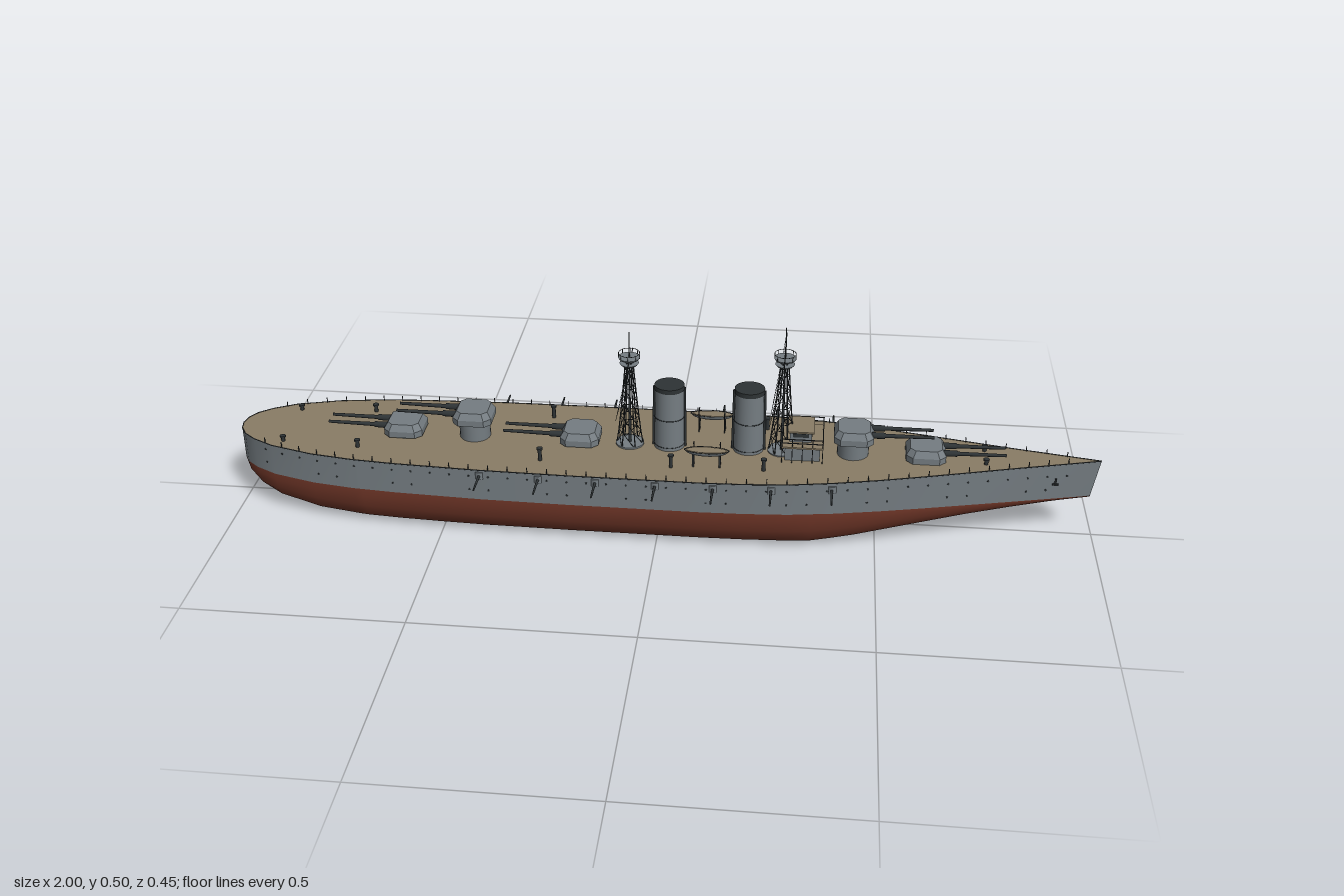
import * as THREE from 'three';
import { mergeGeometries } from 'three/addons/utils/BufferGeometryUtils.js';

const paint = (name, color, extra = {}) => Object.assign(new THREE.MeshStandardMaterial({ color, ...extra }), { name });
const V = (x, y, z) => new THREE.Vector3(x, y, z);

// Hull lines: [x, half beam] and [x, keel height]
const BEAM = [[-1, 0], [-0.995, 0.026], [-0.98, 0.05], [-0.95, 0.074], [-0.9, 0.1], [-0.8, 0.128], [-0.7, 0.143], [-0.6, 0.151],
  [-0.4, 0.16], [-0.2, 0.163], [0.1, 0.163], [0.2, 0.16], [0.3, 0.153], [0.4, 0.138], [0.5, 0.118], [0.6, 0.095], [0.8, 0.046], [1, 0]];
const KEEL = [[-1, 0.1], [-0.98, 0.07], [-0.95, 0.047], [-0.9, 0.028], [-0.8, 0.01], [-0.68, 0.002], [-0.5, 0], [0.35, 0],
  [0.45, 0.007], [0.6, 0.03], [0.8, 0.066], [1, 0.103]];
const WATER = 0.105;
function lookup(table, x) {
  let i = 1;
  while (i < table.length - 1 && x > table[i][0]) i++;
  const [a, b] = [table[i - 1], table[i]];
  return THREE.MathUtils.lerp(a[1], b[1], THREE.MathUtils.clamp((x - a[0]) / (b[0] - a[0]), 0, 1));
}
const beam = (x) => lookup(BEAM, x);
const deckY = (x) => 0.182 + 0.016 * Math.pow(Math.max(0, (x - 0.1) / 0.9), 1.5);
const rake = (x) => 0.015 * Math.max(0, (x - 0.8) / 0.2);

// Surface through rows of points
function loft(rows) {
  const n = rows[0].length, index = [];
  for (let i = 0; i < rows.length - 1; i++) for (let j = 0; j < n - 1; j++) {
    const a = i * n + j, b = a + n;
    index.push(a, a + 1, b, b, a + 1, b + 1);
  }
  const g = new THREE.BufferGeometry();
  g.setAttribute('position', new THREE.Float32BufferAttribute(rows.flat(2), 3));
  g.setIndex(index);
  g.computeVertexNormals();
  return g;
}

function part(parent, name, material, geos) {
  const list = Array.isArray(geos) ? geos : [geos];
  const mesh = new THREE.Mesh(list.length > 1 ? mergeGeometries(list) : list[0], material);
  mesh.name = name;
  parent.add(mesh);
  return mesh;
}
const box = (w, h, d, x, y, z) => new THREE.BoxGeometry(w, h, d).translate(x, y, z);
const drum = (r1, r2, h, x, y, z, n = 20) => new THREE.CylinderGeometry(r1, r2, h, n).translate(x, y + h / 2, z);
function rod(a, b, r, r2 = r, n = 5) {
  const d = b.clone().sub(a);
  const q = new THREE.Quaternion().setFromUnitVectors(V(0, 1, 0), d.clone().normalize());
  return new THREE.CylinderGeometry(r2, r, d.length(), n).applyQuaternion(q).translate(...a.clone().add(b).multiplyScalar(0.5).toArray());
}

export function createModel() {
  const ship = new THREE.Group();
  ship.name = 'battleship';
  const grey = paint('hull grey', 0x757d82);
  const red = paint('bottom red', 0x75392a, { side: THREE.DoubleSide });
  const wood = paint('deck wood', 0x8a7d66);
  const dark = paint('dark steel', 0x2e3335, { side: THREE.DoubleSide });

  // Hull
  const xs = [...new Set([...BEAM, ...KEEL].map((p) => p[0])), -0.3, 0, 0.7, 0.9].sort((a, b) => a - b);
  const side = (s) => loft(xs.map((x) => {
    const top = [x, deckY(x), s * beam(x)], low = [x - rake(x), WATER, s * beam(x)];
    return s > 0 ? [top, low] : [low, top];
  }));
  part(ship, 'hullSides', grey, [side(1), side(-1)]);
  const SECTION = [[1, 1], [0.99, 0.78], [0.93, 0.5], [0.86, 0.27], [0.76, 0.11], [0.55, 0.02], [0.28, 0], [0, 0]];
  part(ship, 'underwaterHull', red, loft(xs.map((x) => {
    const k = lookup(KEEL, x), sharp = THREE.MathUtils.clamp((x - 0.35) / 0.6, 0, 1) * 0.75;
    const half = SECTION.map(([g, f]) => [x - rake(x), k + (WATER - k) * THREE.MathUtils.lerp(f, g, sharp), g * beam(x)]);
    return [...half, ...half.slice(0, -1).reverse().map(([px, y, z]) => [px, y, -z])];
  })));
  part(ship, 'deck', wood, loft(xs.map((x) => [-1, 0, 1].map((s) => [x, deckY(x), s * beam(x)]))));
  part(ship, 'rudder', grey, box(0.07, 0.07, 0.008, -0.915, 0.045, 0));

  // Portholes, guard rail posts and deck-edge line
  const ports = [], posts = [], edges = [];
  for (const s of [1, -1]) {
    for (let x = -0.92; x < 0.95; x += 0.045) {
      const angle = Math.atan2(beam(x + 0.01) - beam(x - 0.01), 0.02) * -s;
      for (const y of [0.165, 0.13]) {
        if (y < 0.15 && Math.round(x * 100) % 2) continue;
        ports.push(new THREE.CylinderGeometry(0.0025, 0.0025, 0.002, 8).rotateX(Math.PI / 2).rotateY(angle).translate(x, y, s * beam(x)));
      }
      posts.push(box(0.0018, 0.013, 0.0018, x, deckY(x) + 0.006, s * (beam(x) - 0.003)));
    }
    xs.slice(1).forEach((x, i) => edges.push(rod(V(xs[i], deckY(xs[i]), s * beam(xs[i])), V(x, deckY(x), s * beam(x)), 0.0012)));
    // Anchors
    const z = s * (beam(0.9) + 0.002);
    ports.push(box(0.004, 0.016, 0.004, 0.9, 0.152, z), box(0.014, 0.004, 0.005, 0.9, 0.145, z));
  }
  part(ship, 'portholesAndAnchors', dark, ports);
  part(ship, 'railPosts', dark, posts);
  part(ship, 'deckEdge', dark, edges);

  // Side battery
  const guns = [], mounts = [];
  for (const s of [1, -1]) for (const x of [-0.4, -0.265, -0.135, 0, 0.13, 0.26, 0.395]) {
    const b = beam(x);
    guns.push(rod(V(x, 0.168, s * (b - 0.01)), V(x, 0.168, s * (b + 0.063)), 0.0035, 0.002, 8));
    mounts.push(drum(0.012, 0.012, 0.018, x, 0.159, s * (b - 0.008), 12));
  }
  part(ship, 'sideGuns', dark, guns);
  part(ship, 'sideGunMounts', grey, mounts);

  // Main turrets: chamfered plan, sides leaning inwards
  function turret(x, base, dir) {
    const g = new THREE.Group();
    g.name = 'mainTurret';
    const a = 0.045, c = 0.03;
    const plan = new THREE.Shape([[a, c], [c, a], [-c, a], [-a, c], [-a, -c], [-c, -a], [c, -a], [a, -c]].map((p) => new THREE.Vector2(...p)).reverse());
    const house = new THREE.ExtrudeGeometry(plan, { depth: 0.03, bevelEnabled: false, steps: 2 }).rotateX(-Math.PI / 2);
    const p = house.attributes.position;
    for (let i = 0; i < p.count; i++) if (p.getY(i) > 0.02) p.setXYZ(i, p.getX(i) * 0.8, p.getY(i), p.getZ(i) * 0.8);
    house.computeVertexNormals();
    part(g, 'gunHouse', grey, house.translate(0, base, 0));
    part(g, 'barbette', grey, drum(0.036, 0.036, base - 0.17, 0, 0.17, 0, 24));
    part(g, 'barrels', dark, [-0.017, 0.017].flatMap((z) => [
      rod(V(0.03, base + 0.017, z), V(0.18, base + 0.019, z), 0.0055, 0.0035, 10),
      rod(V(0.03, base + 0.017, z), V(0.07, base + 0.0175, z), 0.008, 0.007, 10)]));
    g.position.x = x;
    if (dir < 0) g.rotation.y = Math.PI;
    ship.add(g);
  }
  turret(0.605, 0.19, 1);
  turret(0.44, 0.227, 1);
  turret(-0.19, 0.188, -1);
  turret(-0.44, 0.227, -1);
  turret(-0.605, 0.188, -1);

  // Funnels
  for (const x of [0.017, 0.2]) {
    const g = new THREE.Group();
    g.name = 'funnel';
    part(g, 'casing', grey, drum(0.033, 0.035, 0.152, 0, 0.178, 0, 28));
    part(g, 'cap', dark, [drum(0.0345, 0.0345, 0.011, 0, 0.33, 0, 28)]);
    part(g, 'bands', dark, [0.19, 0.26].map((y) => new THREE.TorusGeometry(0.0345, 0.001, 5, 28).rotateX(Math.PI / 2).translate(0, y, 0)));
    part(g, 'steamPipes', dark, [1, -1].map((s) => rod(V(s * 0.037, 0.18, 0), V(s * 0.035, 0.335, 0), 0.003)));
    g.position.x = x;
    g.scale.z = 0.93;
    ship.add(g);
  }

  // Lattice masts
  function mast(x, head, tip, yards) {
    const g = new THREE.Group();
    g.name = 'latticeMast';
    const sides = 6, levels = 6, steel = [], wires = [];
    const at = (k, l) => {
      const t = l / levels, r = 0.031 - 0.023 * Math.pow(t, 0.8), an = (k / sides) * Math.PI * 2;
      return V(Math.cos(an) * r, 0.18 + (head - 0.18) * t, Math.sin(an) * r);
    };
    for (let l = 0; l < levels; l++) for (let k = 0; k < sides; k++) {
      steel.push(rod(at(k, l), at(k, l + 1), 0.0014), rod(at(k, l), at(k + 1, l + 1), 0.0009),
        rod(at(k, l + 1), at(k + 1, l + 1), 0.0009));
    }
    steel.push(rod(V(0, 0.18, 0), V(0, tip, 0), 0.004, 0.001, 8));
    part(g, 'lattice', dark, steel);
    part(g, 'fightingTop', grey, [drum(0.022, 0.018, 0.005, 0, head - 0.016, 0), drum(0.025, 0.023, 0.004, 0, head, 0)]);
    const rail = [new THREE.TorusGeometry(0.024, 0.0008, 4, 20).rotateX(Math.PI / 2).translate(0, head + 0.014, 0)];
    for (let k = 0; k < 8; k++) {
      const c = Math.cos(k * Math.PI / 4) * 0.024, s = Math.sin(k * Math.PI / 4) * 0.024;
      rail.push(rod(V(c, head, s), V(c, head + 0.014, s), 0.0008));
    }
    part(g, 'topRail', dark, rail);
    for (const [y, w] of yards) {
      wires.push(rod(V(0, y, -w), V(0, y, w), 0.0011));
      for (const s of [1, -1]) wires.push(rod(V(0, y, s * w), V(-0.03, 0.25, s * 0.022), 0.0005, 0.0005, 3));
    }
    part(g, 'yardsAndStays', dark, wires);
    part(g, 'mastFoot', grey, drum(0.033, 0.033, 0.008, 0, 0.178, 0, 24));
    g.position.x = x;
    ship.add(g);
  }
  mast(0.277, 0.418, 0.497, [[0.45, 0.07], [0.427, 0.064]]);
  mast(-0.075, 0.402, 0.468, [[0.393, 0.07], [0.377, 0.064]]);

  // Bridge
  const bridge = new THREE.Group();
  bridge.name = 'bridge';
  part(bridge, 'lowerHouse', grey, box(0.08, 0.04, 0.09, 0.325, 0.2, 0));
  part(bridge, 'platform', wood, box(0.095, 0.004, 0.112, 0.325, 0.222, 0));
  part(bridge, 'wheelhouse', grey, box(0.05, 0.026, 0.06, 0.32, 0.237, 0));
  part(bridge, 'wheelhouseRoof', wood, box(0.06, 0.004, 0.075, 0.32, 0.252, 0));
  const frame = [];
  for (const s of [1, -1]) {
    for (const y of [0.234, 0.244]) frame.push(box(0.095, 0.0018, 0.0018, 0.325, y, s * 0.055), box(0.0018, 0.0018, 0.11, 0.325 + s * 0.046, y, 0));
    for (let i = -2; i <= 2; i++) frame.push(box(0.0018, 0.063, 0.0018, 0.325 + i * 0.023, 0.213, s * 0.055), box(0.0018, 0.022, 0.0018, 0.325 + s * 0.046, 0.234, i * 0.027));
  }
  part(bridge, 'bridgeRail', dark, frame);
  part(bridge, 'bridgeWindows', dark, [...[-0.02, 0, 0.02].map((z) => box(0.002, 0.009, 0.013, 0.345, 0.241, z)),
    ...[1, -1].map((s) => box(0.036, 0.009, 0.002, 0.32, 0.241, s * 0.03))]);
  ship.add(bridge);

  // Boats on cradles with davits, plus deck fittings on both sides
  for (const s of [1, -1]) {
    const boat = part(ship, 'boat', grey, new THREE.SphereGeometry(1, 20, 8, 0, Math.PI * 2, Math.PI / 2, Math.PI / 2).scale(0.05, 0.014, 0.016));
    boat.position.set(0.11, 0.222, s * 0.085);
    const cover = part(ship, 'boatCover', wood, new THREE.CylinderGeometry(1, 1, 0.001, 24).scale(0.046, 1, 0.013));
    cover.position.set(0.11, 0.222, s * 0.085);
    part(ship, 'boatRim', dark, new THREE.TorusGeometry(1, 0.04, 5, 28).rotateX(Math.PI / 2).scale(0.05, 0.02, 0.016).translate(0.11, 0.222, s * 0.085));
    const gear = [];
    for (const x of [0.08, 0.14]) {
      gear.push(box(0.004, 0.032, 0.018, x, 0.197, s * 0.085),
        rod(V(x, 0.18, s * 0.066), V(x, 0.234, s * 0.068), 0.0013), rod(V(x, 0.234, s * 0.068), V(x, 0.237, s * 0.085), 0.0013));
    }
    part(ship, 'davits', dark, gear);
    const fittings = [];
    for (const [x, z, h] of [[-0.27, 0.1, 0.028], [0.03, 0.1, 0.028], [0.24, 0.095, 0.026], [-0.7, 0.085, 0.016], [-0.88, 0.075, 0.01], [0.74, 0.03, 0.01]])
      fittings.push(drum(0.0045, 0.0045, h, x, deckY(x), s * z, 10), drum(0.007, 0.007, 0.004, x, deckY(x) + h, s * z, 10));
    part(ship, 'ventsAndBollards', dark, fittings);
  }
  return ship;
}
